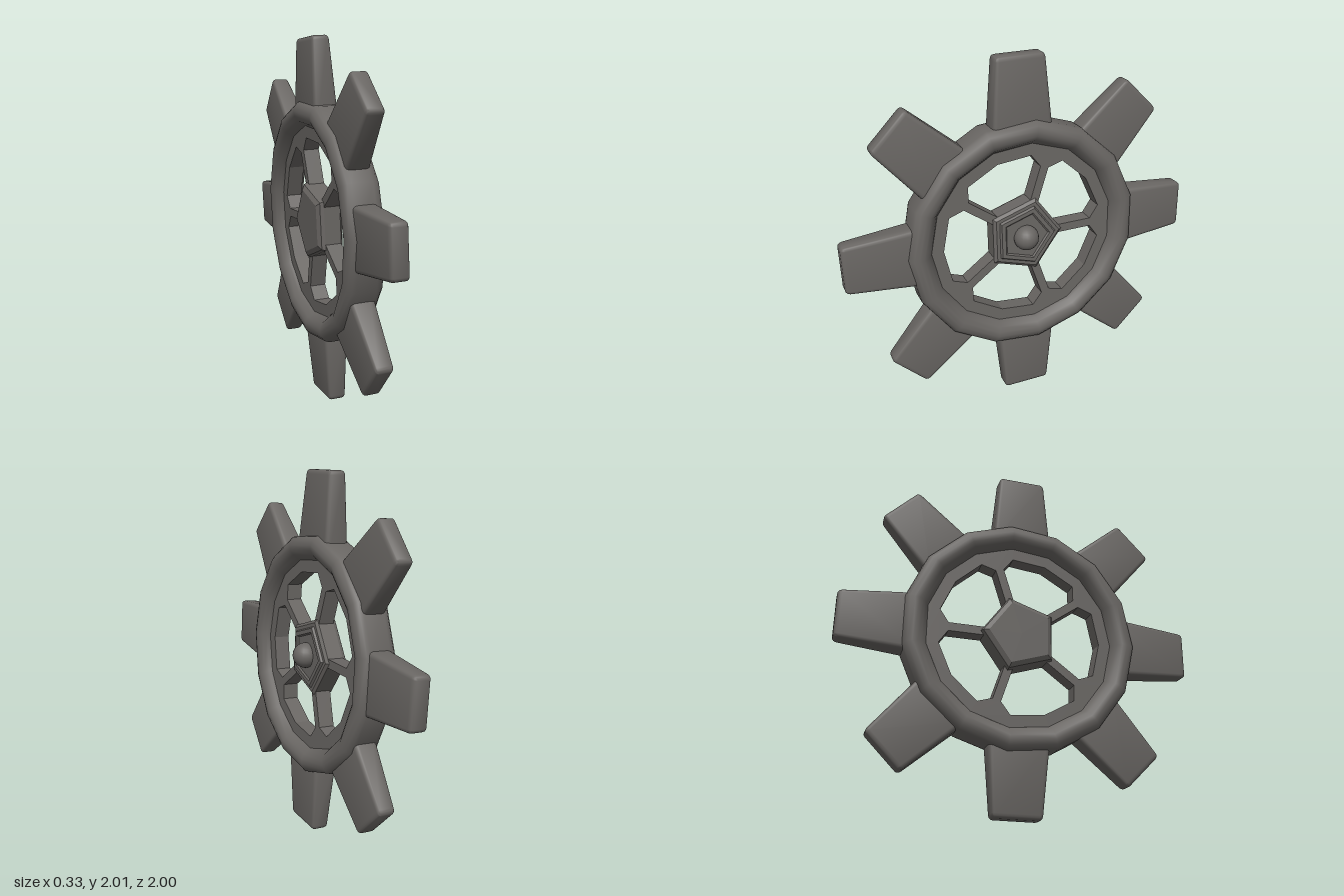
import * as THREE from 'three';
import { toCreasedNormals } from 'three/addons/utils/BufferGeometryUtils.js';
import { RoundedBoxGeometry } from 'three/addons/geometries/RoundedBoxGeometry.js';

const rad = THREE.MathUtils.degToRad;
const polar = (r, a) => new THREE.Vector2(r * Math.cos(rad(a)), r * Math.sin(rad(a)));

// Faceted solid of revolution about local z
function turned(profile, sides, startDeg, crease) {
  const points = profile.map(([r, h]) => new THREE.Vector2(r, h));
  const g = new THREE.LatheGeometry(points, sides, rad(startDeg), Math.PI * 2);
  g.rotateX(Math.PI / 2);
  return toCreasedNormals(g, crease);
}

// Rounded block that narrows towards its tip
function toothGeometry() {
  const inner = 0.58, outer = 1.003, length = outer - inner;
  const g = new RoundedBoxGeometry(0.342, length, 0.138, 2, 0.026);
  const p = g.attributes.position;
  for (let i = 0; i < p.count; i++) {
    const t = p.getY(i) / length + 0.5;
    p.setX(i, p.getX(i) * (1 - 0.21 * t));
    p.setZ(i, p.getZ(i) * (1 - 0.3 * t));
  }
  g.translate(0, inner + length / 2, 0);
  return toCreasedNormals(g, 0.8);
}

// Fifteen-sided plate with five openings, leaving slim spokes
function webGeometry() {
  const shape = new THREE.Shape(Array.from({ length: 15 }, (_, i) => polar(0.56, 12 + i * 24)));
  const centre = new THREE.Vector2();
  for (let i = 0; i < 5; i++) {
    const a = i * 72;
    const along = (x, y, turn) => new THREE.Vector2(x, y).rotateAround(centre, rad(turn));
    shape.holes.push(new THREE.Path([
      along(0.207, 0.024, a), along(0.405, 0.024, a),
      polar(0.465, a + 12), polar(0.465, a + 36), polar(0.465, a + 60),
      along(0.405, -0.024, a + 72), along(0.207, -0.024, a + 72),
    ].reverse()));
  }
  const g = new THREE.ExtrudeGeometry(shape, { depth: 0.09, bevelEnabled: false });
  g.translate(0, 0, -0.045);
  return g;
}

export function createModel() {
  const metal = new THREE.MeshStandardMaterial({ color: 0x696663 });
  metal.name = 'dark grey metal';

  const wheel = new THREE.Group();
  wheel.name = 'wheel';
  const add = (name, geometry) => {
    const m = new THREE.Mesh(geometry, metal);
    m.name = name;
    wheel.add(m);
    return m;
  };

  // Thick rim with rounded lips on both faces
  const lip = [[0.668, 0.055], [0.662, 0.078], [0.642, 0.096], [0.615, 0.105],
    [0.588, 0.102], [0.562, 0.086], [0.545, 0.062], [0.53, 0.04]];
  const lower = lip.map(([r, h]) => [r, -h]).reverse();
  add('rim', turned([...lower, ...lip, lower[0]], 15, 6, 0.75));

  // Spoked web
  add('spokes', webGeometry());

  // Stepped five-sided hub and its round cap
  add('hub', turned([
    [0, -0.08], [0.185, -0.08], [0.215, -0.065], [0.225, -0.045],
    [0.225, 0.045], [0.205, 0.058], [0.182, 0.058], [0.172, 0.07],
    [0.145, 0.07], [0.135, 0.062], [0, 0.062],
  ], 5, 18, 0.3));
  const cap = add('hubCap', new THREE.SphereGeometry(0.07, 20, 14));
  cap.position.z = 0.075;

  // Eight tapered teeth
  const tooth = toothGeometry();
  for (let i = 0; i < 8; i++) add('tooth', tooth).rotation.z = i * Math.PI / 4;

  // Turn the axle to face sideways, then tilt it slightly
  wheel.rotation.y = Math.PI / 2;
  const tilt = new THREE.Group();
  tilt.name = 'tiltedWheel';
  tilt.add(wheel);
  tilt.quaternion.setFromUnitVectors(new THREE.Vector3(1, 0, 0),
    new THREE.Vector3(1, 0.05, -0.085).normalize());
  tilt.position.y = 1.003;

  const model = new THREE.Group();
  model.name = 'gearWheel';
  model.add(tilt);
  return model;
}
